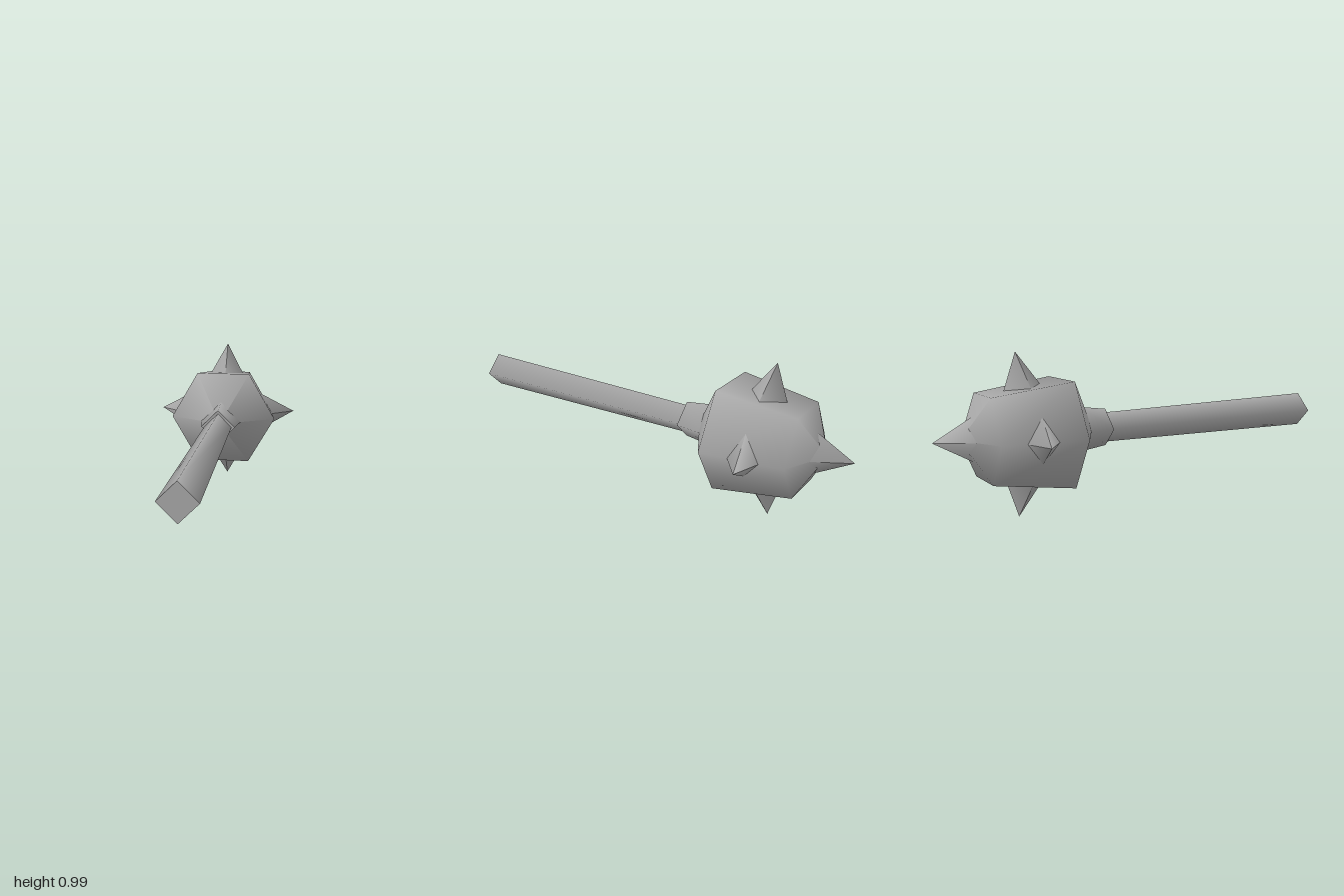
import * as THREE from 'three';

// Spiked mace lying diagonally: local y runs along the handle, from head to grip.
export function createModel() {
  const model = new THREE.Group();
  model.name = 'mace';
  const steel = new THREE.MeshStandardMaterial({ color: 0xa8a8a8 });
  steel.name = 'grey steel';

  const mace = new THREE.Group();
  mace.name = 'maceParts';
  const s = Math.SQRT1_2;
  mace.quaternion.setFromRotationMatrix(new THREE.Matrix4().makeBasis(
    new THREE.Vector3(s, 0, -s),
    new THREE.Vector3(s, 0, s),
    new THREE.Vector3(0, -1, 0)));
  mace.position.y = 0.505;
  model.add(mace);

  const add = (name, geometry) => {
    const mesh = new THREE.Mesh(geometry, steel);
    mesh.name = name;
    mace.add(mesh);
    return mesh;
  };

  // Six-sided head with smooth normals
  const profile = [[0, -1.253], [0.292, -1.113], [0.371, -0.61], [0, -0.405]]
    .map(([r, y]) => new THREE.Vector2(r, y));
  add('head', new THREE.LatheGeometry(profile, 6, Math.PI / 2));

  // Four-sided tapered bar between two heights
  const bar = (name, rTop, rBottom, y0, y1) =>
    add(name, new THREE.CylinderGeometry(rTop, rBottom, y1 - y0, 4).translate(0, (y0 + y1) / 2, 0));
  bar('collar', 0.116, 0.139, -0.48, -0.311);
  bar('handle', 0.114, 0.092, -0.45, 1.29);

  // Four leaning spikes around the head
  const spike = () => new THREE.ConeGeometry(0.168, 0.3, 4).translate(0, -0.15, 0);
  const lean = new THREE.Matrix4().makeShear(-0.22, 0, 0, 0, 0, 0);
  for (let i = 0; i < 4; i++) {
    const geometry = spike().rotateZ(-Math.PI / 2).applyMatrix4(lean).translate(0.497, -0.905, 0);
    add('sideSpike' + (i + 1), geometry).rotation.y = i * Math.PI / 2;
  }

  // Straight spike at the tip
  add('tipSpike', spike().rotateX(Math.PI).translate(0, -1.414, 0));

  return model;
}
